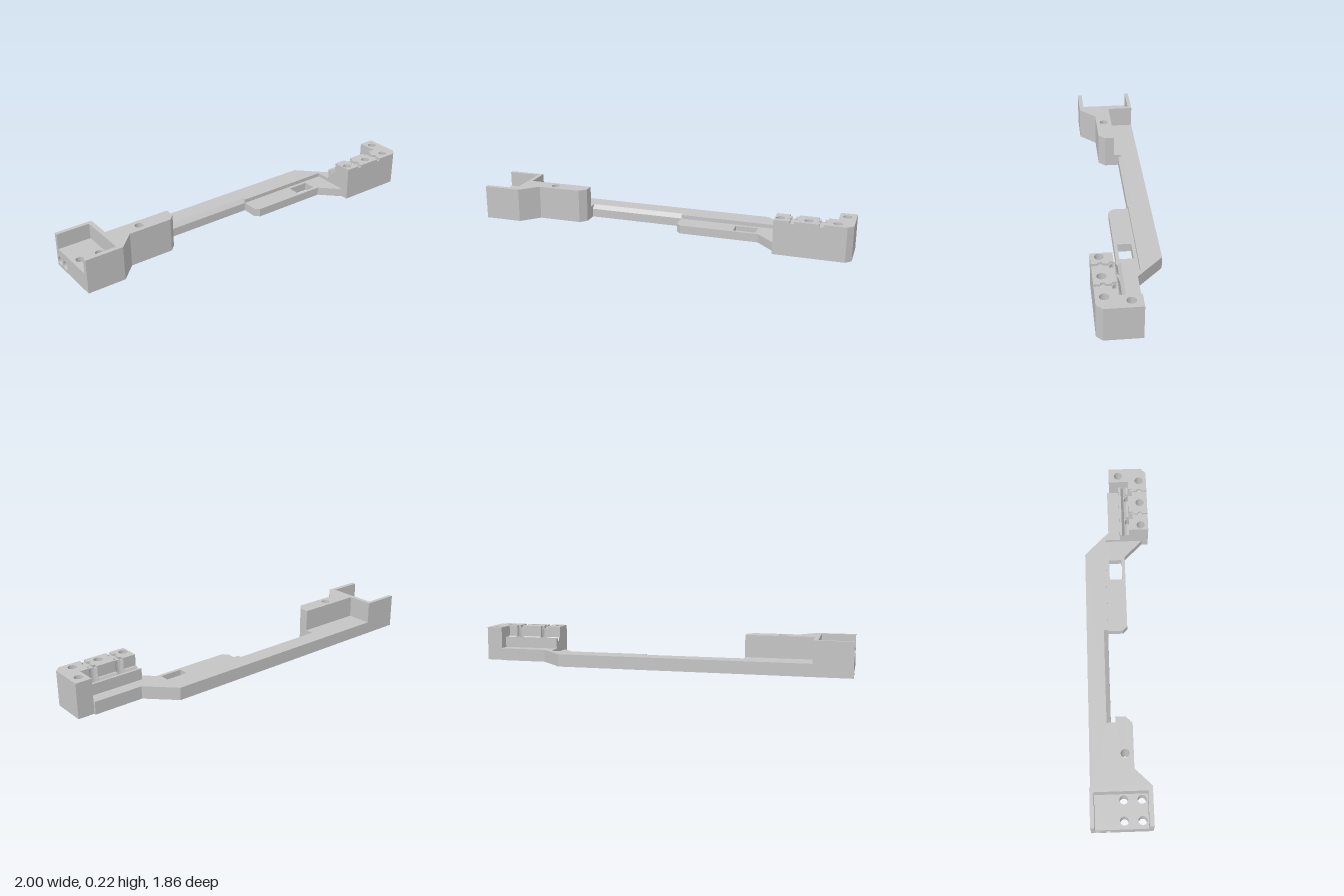
import * as THREE from 'three';

const grey = new THREE.MeshStandardMaterial({ color: 0xc4c4c4 });
grey.name = 'machined grey';
const R = 0.027; // bolt hole radius

export function createModel() {
  const group = new THREE.Group();
  group.name = 'bracketArm';
  // Parts are laid out with u along the arm and v across it, then turned 45 degrees
  const arm = new THREE.Group();
  arm.name = 'arm';
  arm.rotation.y = Math.PI / 4;
  group.add(arm);

  const add = (name, geometry) => {
    const mesh = new THREE.Mesh(geometry, grey);
    mesh.name = name;
    arm.add(mesh);
  };
  // Outlines run counter-clockwise so that hole walls face inwards
  const outline = (points) => {
    const p = points.map(([x, y]) => new THREE.Vector2(x, y));
    return new THREE.Shape(THREE.ShapeUtils.isClockWise(p) ? p.reverse() : p);
  };
  const extrude = (shape, depth) =>
    new THREE.ExtrudeGeometry(shape, { depth, bevelEnabled: false, curveSegments: 12 });
  const circle = (x, y, r) => new THREE.Path().absarc(x, y, r, 0, Math.PI * 2, true);
  const rect = (u0, u1, v0, v1) => [[u0, v0], [u1, v0], [u1, v1], [u0, v1]];

  // Plan outline raised from y0 to y1, with round bolt holes and polygonal cut-outs
  function slab(name, points, y0, y1, holes = [], cuts = []) {
    const flat = (p) => p.map(([u, v]) => [u, -v]);
    const shape = outline(flat(points));
    holes.forEach(([u, v]) => shape.holes.push(circle(u, -v, R)));
    cuts.forEach((c) => shape.holes.push(outline(flat(c))));
    add(name, extrude(shape, y1 - y0).rotateX(-Math.PI / 2).translate(0, y0, 0));
  }
  // Cross-section of [v, y] points run along the arm from u0 to u1
  function run(name, section, u0, u1, holes = []) {
    const shape = outline(section.map(([v, y]) => [-v, y]));
    holes.forEach(([v, y, r]) => shape.holes.push(circle(-v, y, r)));
    add(name, extrude(shape, u1 - u0).rotateY(Math.PI / 2).translate(u0, 0, 0));
  }

  // Long bar, with the low ledge at its far end
  slab('bar', [
    [-0.933, -0.24], [0.679, -0.24], [0.841, -0.078], [1.153, -0.078], [1.153, 0],
    [0.785, 0], [0.785, -0.1], [0.127, -0.1], [0.127, -0.127], [-0.502, -0.127],
    [-0.502, -0.071], [-0.933, -0.071],
  ], 0, 0.08);
  run('barSlopedEdge', [[-0.127, 0], [-0.1, 0], [-0.1, 0.055], [-0.127, 0.08]], -0.502, 0.127);

  // Thin side plate with a rectangular window
  slab('sidePlate', [
    [0.127, -0.1], [0.785, -0.1], [0.785, 0.148], [0.665, 0.028], [0.156, 0.028], [0.127, 0],
  ], 0, 0.055, [], [rect(0.5, 0.643, -0.078, 0.007)]);

  // Tall block beside the bar
  slab('tallBlock', [
    [-0.933, -0.071], [-0.502, -0.071], [-0.502, -0.007], [-0.544, 0.035],
    [-0.827, 0.035], [-0.933, 0.141],
  ], 0, 0.22, [[-0.732, -0.018]]);

  // Open-ended tray: floor with bolt holes, cross-drilled side, three walls
  slab('trayFloor', [
    [-1.174, -0.1], [-1.0, -0.1], [-1.0, -0.24], [-0.933, -0.24], [-0.933, 0.141], [-1.174, 0.141],
  ], 0, 0.12, [[-0.997, -0.035], [-1.124, -0.035], [-0.997, 0.076], [-1.124, 0.076]]);
  run('trayDrilledSide', [[-0.24, 0], [-0.1, 0], [-0.1, 0.12], [-0.24, 0.12]], -1.174, -1.0,
    [[-0.205, 0.042, 0.028], [-0.14, 0.042, 0.028]]);
  slab('trayWalls', [
    [-1.174, -0.24], [-0.933, -0.24], [-0.933, 0.141], [-1.174, 0.141], [-1.174, 0.112],
    [-0.962, 0.112], [-0.962, -0.215], [-1.174, -0.215],
  ], 0.12, 0.22);

  // Clamp block: half holes are scooped from both sides of the line v = 0.063
  const edge = 0.063;
  const scoops = [0.895, 1.07];
  const scoopedEdge = (side) => {
    const pts = [[0.785, edge]];
    for (const c of scoops)
      for (let i = 0; i <= 10; i++) {
        const a = Math.PI * (1 - i / 10);
        pts.push([c + R * Math.cos(a), edge + side * R * Math.sin(a)]);
      }
    pts.push([1.153, edge]);
    return pts;
  };
  const boltHoles = [[1.2, 0], [1.16, 0.141], [0.99, 0.141], [0.82, 0.141]];
  slab('clampBlock', [
    ...scoopedEdge(1), [1.153, -0.064], [1.255, -0.064], [1.255, 0.156], [1.22, 0.191], [0.785, 0.191],
  ], 0, 0.205, boltHoles);

  // Top lands, separated by shallow cross grooves that widen into small pockets
  const grooveSide = (c, side) => [
    [edge, R], [0.09, R], [0.09, 0.013], [0.125, 0.013],
    [0.13, 0.026], [0.15, 0.026], [0.155, 0.013], [0.191, 0.013],
  ].map(([v, half]) => [c + side * half, v]);
  const [inner, outer] = scoops;
  slab('clampLandInner', [
    ...grooveSide(inner, -1), [0.785, 0.191], [0.785, edge],
  ], 0.205, 0.22, [boltHoles[3]]);
  slab('clampLandMiddle', [
    ...grooveSide(inner, 1), ...grooveSide(outer, -1).reverse(),
  ], 0.205, 0.22, [boltHoles[2]]);
  slab('clampLandOuter', [
    ...grooveSide(outer, 1), [1.22, 0.191], [1.255, 0.156], [1.255, -0.064],
    [1.153, -0.064], [1.153, edge],
  ], 0.205, 0.22, [boltHoles[0], boltHoles[1]]);

  // Middle step with a V groove along it
  slab('clampStep', [...scoopedEdge(-1), [1.153, 0], [0.785, 0]], 0, 0.12);
  run('grooveOuterSide', [[0, 0.12], [0.033, 0.12], [0.016, 0.15], [0, 0.15]], 0.785, 1.153);
  [[0.785, 0.868], [0.922, 1.043], [1.097, 1.153]].forEach(([a, b]) =>
    run('grooveInnerSide', [[0.033, 0.12], [edge, 0.12], [edge, 0.15], [0.05, 0.15]], a, b));

  return group;
}
